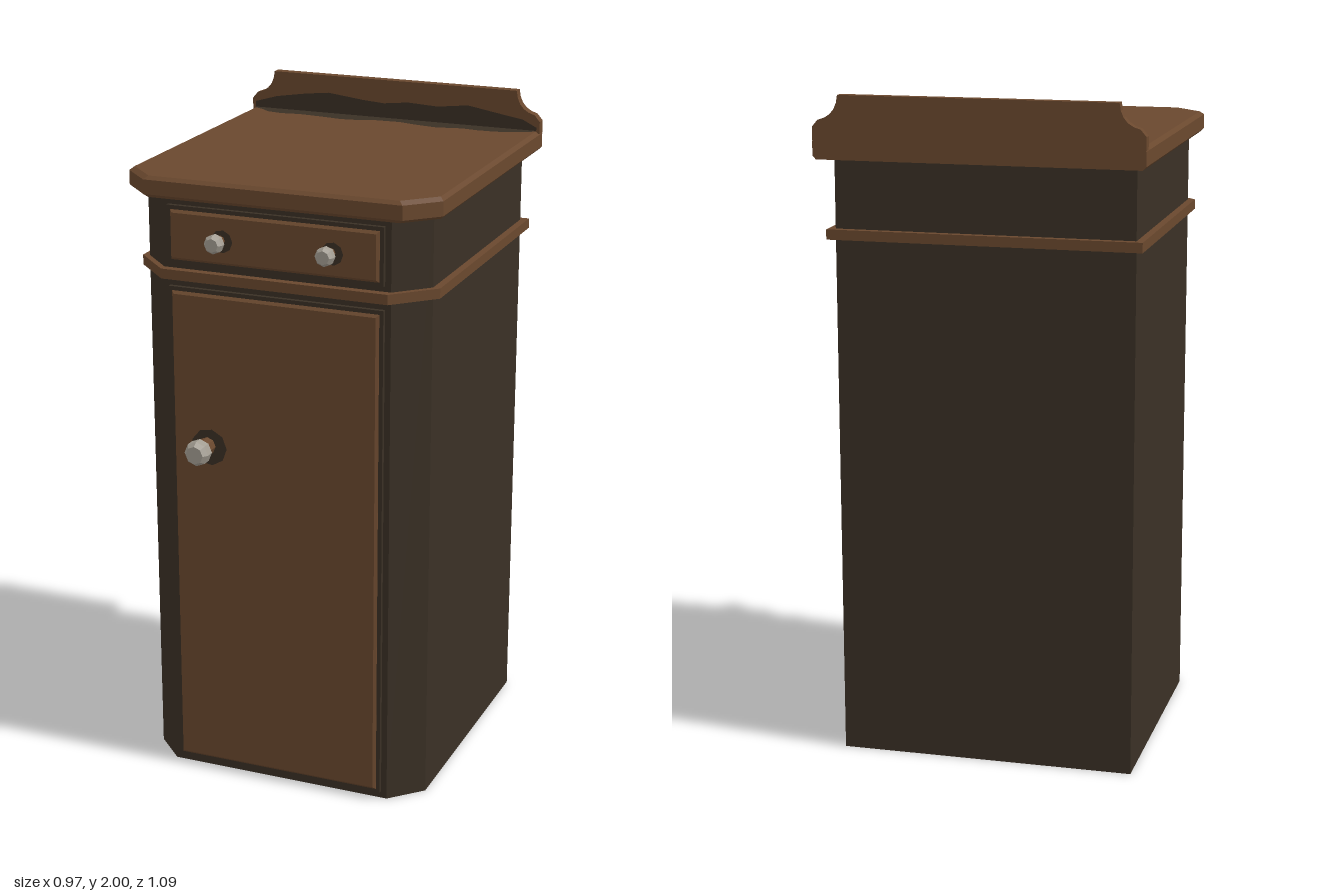
import * as THREE from 'three';

const mat = (name, color) => {
  const m = new THREE.MeshStandardMaterial({ color, flatShading: true });
  m.name = name;
  return m;
};

// Solid stacked from chamfered floor outlines; each level is [height, inset], the back stays straight
function loft(w, zf, zb, c, levels) {
  const pos = [], idx = [], n = 6;
  for (const [y, i] of levels) {
    const x = w - i, f = zf - i;
    for (const [px, pz] of [[x, zb], [-x, zb], [-x, f - c], [-x + c, f], [x - c, f], [x, f - c]]) pos.push(px, y, pz);
  }
  const top = (levels.length - 1) * n;
  for (let l = 0; l < top; l += n) {
    for (let k = 0; k < n; k++) {
      const a = l + k, b = l + (k + 1) % n;
      idx.push(a, b, b + n, a, b + n, a + n);
    }
  }
  for (let k = 1; k < n - 1; k++) idx.push(top, top + k, top + k + 1, 0, k + 1, k);
  const g = new THREE.BufferGeometry();
  g.setAttribute('position', new THREE.Float32BufferAttribute(pos, 3));
  g.setIndex(idx);
  const flat = g.toNonIndexed();
  flat.computeVertexNormals();
  return flat;
}

const polygon = pts => new THREE.Shape(pts.map(p => new THREE.Vector2(p[0], p[1])));

export function createModel() {
  const group = new THREE.Group();
  const brown = mat('warm brown wood', 0x6a482e);
  const dark = mat('dark wood', 0x3a3025);
  const metal = mat('grey metal', 0xa39d92);

  const add = (name, geometry, material, x = 0, y = 0, z = 0, parent = group) => {
    const m = new THREE.Mesh(geometry, material);
    m.name = name;
    m.position.set(x, y, z);
    parent.add(m);
    return m;
  };

  // Carcass, moulding and top
  add('body', loft(0.445, 0.43, -0.465, 0.092, [[0, 0], [1.82, 0]]), dark);
  add('moulding', loft(0.467, 0.455, -0.487, 0.115, [[1.575, 0], [1.605, 0]]), brown);
  add('topSlab', loft(0.485, 0.465, -0.54, 0.088,
    [[1.815, 0.01], [1.825, 0], [1.868, 0], [1.878, 0.012]]), brown);

  // Backboard with scooped upper corners
  const board = new THREE.Shape();
  board.moveTo(-0.485, 1.87);
  board.lineTo(0.485, 1.87);
  board.lineTo(0.485, 1.908);
  board.lineTo(0.468, 1.928);
  board.quadraticCurveTo(0.412, 1.94, 0.408, 2);
  board.lineTo(-0.408, 2);
  board.quadraticCurveTo(-0.412, 1.94, -0.468, 1.928);
  board.lineTo(-0.485, 1.908);
  add('backboard', new THREE.ExtrudeGeometry(board, { depth: 0.03, bevelEnabled: false, curveSegments: 5 }),
    brown, 0, 0, -0.54);

  // Wavy dark patina where the backboard meets the top
  const floorEdge = [[0.472, 0.495], [0.41, 0.465], [0.36, 0.45], [0.3, 0.448], [0.25, 0.455], [0.17, 0.438],
    [0.1, 0.45], [0.04, 0.467], [-0.04, 0.463], [-0.09, 0.445], [-0.15, 0.437], [-0.22, 0.448], [-0.3, 0.456],
    [-0.36, 0.447], [-0.41, 0.457], [-0.44, 0.482], [-0.472, 0.497]];
  const floor = new THREE.ShapeGeometry(polygon([[-0.472, 0.51], [0.472, 0.51], ...floorEdge]));
  add('topPatina', floor.rotateX(-Math.PI / 2), dark, 0, 1.88, 0);
  const wallEdge = [[0.475, 1.89], [0.43, 1.912], [0.35, 1.925], [0.25, 1.942], [0.15, 1.93], [0.05, 1.935],
    [-0.03, 1.926], [-0.1, 1.931], [-0.22, 1.945], [-0.3, 1.936], [-0.4, 1.92], [-0.475, 1.898]];
  add('backboardPatina', new THREE.ShapeGeometry(polygon([[-0.475, 1.878], [0.475, 1.878], ...wallEdge])),
    dark, 0, 0, -0.508);

  // Door and drawer: dark rim behind a bevelled panel
  const panel = (name, y0, y1) => {
    const g = new THREE.Group();
    g.name = name;
    group.add(g);
    const h = y1 - y0, yc = (y0 + y1) / 2, x = 0.323, y = h / 2 - 0.012;
    add(name + 'Rim', new THREE.BoxGeometry(0.67, h, 0.02), dark, 0, yc, 0.433, g);
    const s = polygon([[-x + 0.008, -y + 0.008], [x - 0.008, -y + 0.008], [x - 0.008, y - 0.008], [-x + 0.008, y - 0.008]]);
    add(name + 'Panel', new THREE.ExtrudeGeometry(s,
      { depth: 0.006, bevelSize: 0.008, bevelThickness: 0.008, bevelSegments: 1 }), brown, 0, yc, 0.438, g);
  };
  panel('door', 0.022, 1.552);
  panel('drawer', 1.622, 1.795);

  // Knobs: wooden stem, faceted metal head and a worn dark patch behind
  const knob = (name, x, y, r, stemR, z0, z1, patch) => {
    const g = new THREE.Group();
    g.name = name;
    g.position.set(x, y, 0);
    group.add(g);
    const stem = new THREE.CylinderGeometry(stemR, stemR, z0 - 0.44, 8).rotateX(Math.PI / 2);
    add(name + 'Stem', stem, brown, 0, 0, (z0 + 0.44) / 2, g);
    const d = z1 - z0;
    const profile = [[0, 0], [0.7, 0], [1, 0.2], [1, 0.72], [0.72, 1], [0, 1]]
      .map(([a, b]) => new THREE.Vector2(a * r, b * d));
    add(name + 'Head', new THREE.LatheGeometry(profile, 8).rotateX(Math.PI / 2), metal, 0, 0, z0, g);
    add(name + 'Patch', new THREE.CircleGeometry(patch, 9), dark, r * 0.15, -r * 0.1, 0.4535, g);
  };
  knob('doorKnob', -0.215, 1.075, 0.038, 0.027, 0.492, 0.545, 0.057);
  for (const [side, x] of [['left', 0.179], ['right', -0.162]]) {
    knob(side + 'DrawerKnob', x, 1.708, 0.028, 0.015, 0.477, 0.514, 0.034);
  }
  return group;
}
